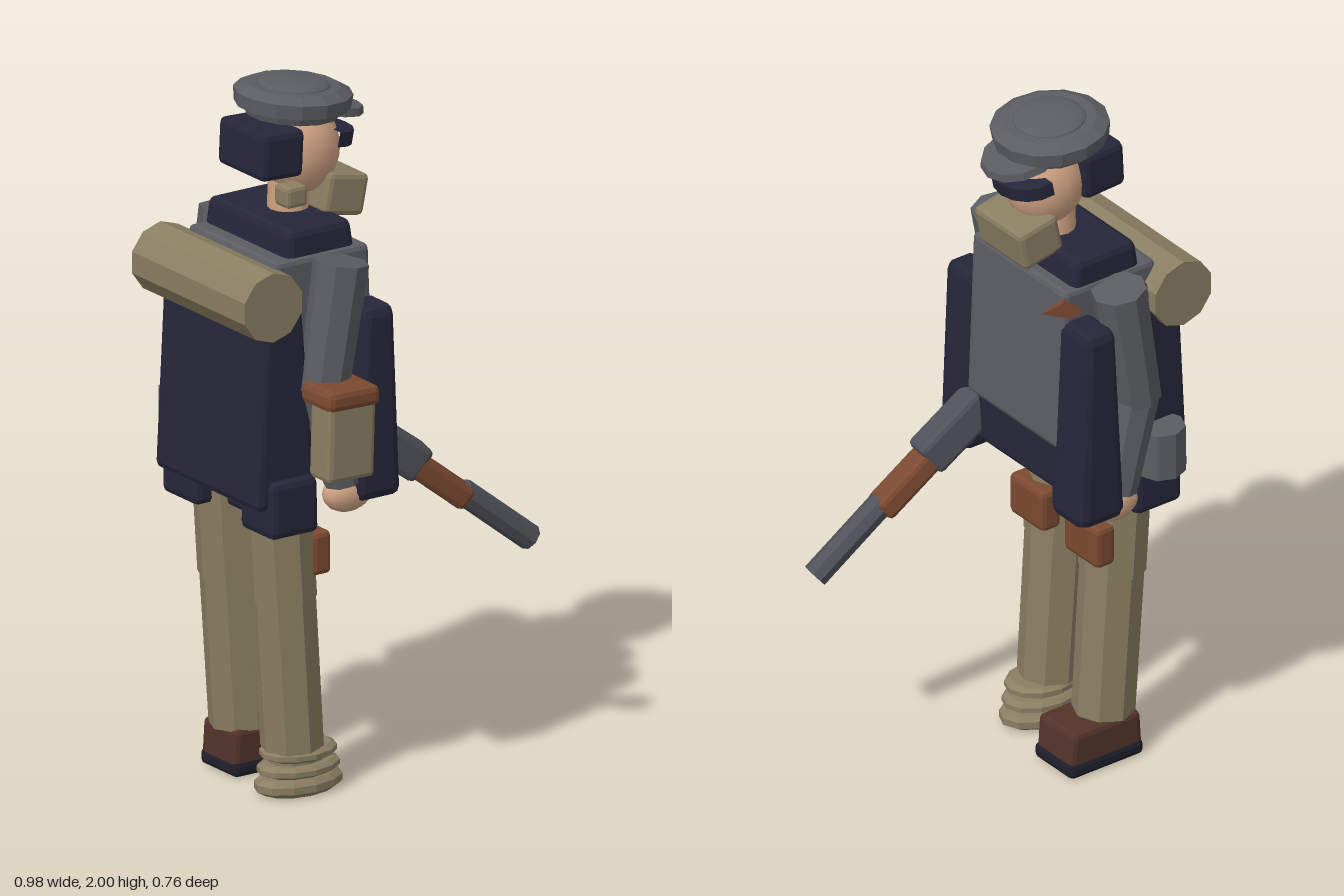
import * as THREE from 'three';
import { RoundedBoxGeometry } from 'three/addons/geometries/RoundedBoxGeometry.js';

const mat = (name, color) => new THREE.MeshStandardMaterial({ name, color });

export function createModel() {
  const model = new THREE.Group();
  model.name = 'soldier';

  const grey = mat('cloth grey', 0x5b5d63);
  const navy = mat('dark navy', 0x25273a);
  const tan = mat('canvas tan', 0x8a7e62);
  const brown = mat('leather brown', 0x7c4a31);
  const skin = mat('skin', 0xcfa282);
  const boot = mat('boot brown', 0x53332b);
  const steel = mat('gun steel', 0x50525a);
  const black = mat('sole black', 0x1f202b);

  // Faceted copy of a geometry
  const facet = (g) => {
    const f = g.index ? g.toNonIndexed() : g;
    f.computeVertexNormals();
    return f;
  };
  const add = (name, geo, material, x = 0, y = 0, z = 0, rz = 0) => {
    const m = new THREE.Mesh(geo, material);
    m.name = name;
    m.position.set(x, y, z);
    m.rotation.z = rz;
    model.add(m);
    return m;
  };

  // Bevelled block from ranges; its top may be scaled and shifted along x
  const block = (name, material, [x0, x1], [y0, y1], [z0, z1], bevel = 0.015, o = {}) => {
    const { top = 1, topZ = 1, shift = 0, rz = 0 } = o;
    const h = y1 - y0;
    const g = new RoundedBoxGeometry(x1 - x0, h, z1 - z0, 1, bevel);
    const p = g.attributes.position;
    for (let i = 0; i < p.count; i++) {
      const t = p.getY(i) / h + 0.5;
      p.setX(i, p.getX(i) * (1 + (top - 1) * t) + shift * t);
      p.setZ(i, p.getZ(i) * (1 + (topZ - 1) * t));
    }
    return add(name, facet(g), material, (x0 + x1) / 2, (y0 + y1) / 2, (z0 + z1) / 2, rz);
  };

  // Straight part between two points
  const UP = new THREE.Vector3(0, 1, 0);
  const between = (name, material, a, b, makeGeo) => {
    const A = new THREE.Vector3(...a), B = new THREE.Vector3(...b);
    const d = B.clone().sub(A);
    const mid = A.clone().add(B).multiplyScalar(0.5);
    const m = add(name, facet(makeGeo(d.length())), material, mid.x, mid.y, mid.z);
    m.quaternion.setFromUnitVectors(UP, d.normalize());
    return m;
  };
  const rod = (name, material, a, b, rA, rB = rA, sides = 8) =>
    between(name, material, a, b, (l) => new THREE.CylinderGeometry(rB, rA, l, sides));

  const midZ = -0.04;

  // Legs with thigh pouches
  for (const [side, z] of [['left', 0.085], ['right', -0.16]]) {
    rod(side + 'Thigh', tan, [-0.265, 0.57, z], [-0.29, 0.96, z], 0.094, 0.094);
    rod(side + 'Shin', tan, [-0.235, 0.13, z], [-0.265, 0.59, z], 0.088, 0.09);
    block(side + 'ThighPouch', brown, [-0.22, -0.155], [0.63, 0.755], [z - 0.077, z + 0.077], 0.015);
  }

  // Left foot: stacked wrapped pads
  const footCore = add('leftFootCore', facet(new THREE.CylinderGeometry(0.06, 0.06, 0.12, 10)), tan, -0.22, 0.07, 0.085);
  footCore.scale.x = 1.4;
  [[0.025, 0.135, 0.05], [0.07, 0.125, 0.035], [0.115, 0.115, 0.035]].forEach(([y, rx, h], i) => {
    const profile = [[0, -h / 2], [0.8, -h / 2], [1, -h / 5], [1, h / 5], [0.85, h / 2], [0, h / 2]]
      .map(([r, v]) => new THREE.Vector2(r, v));
    const pad = add('leftFootPad' + (i + 1), facet(new THREE.LatheGeometry(profile, 12)), tan, -0.215, y, 0.085);
    pad.scale.set(rx, 1, 0.087);
  });

  // Right boot
  block('rightSole', black, [-0.31, -0.06], [0, 0.045], [-0.247, -0.075], 0.014);
  block('rightBoot', boot, [-0.31, -0.065], [0.025, 0.135], [-0.242, -0.08], 0.015, { top: 0.94 });

  // Torso, vest and coat
  block('pelvis', navy, [-0.33, -0.2], [0.79, 0.97], [-0.2, 0.12]);
  block('lowerTorso', navy, [-0.34, -0.02], [0.93, 1.12], [-0.25, 0.17]);
  block('vest', grey, [-0.36, -0.015], [1.065, 1.56], [-0.252, 0.168], 0.015, { top: 0.9, shift: -0.003 });
  block('coatBack', navy, [-0.44, -0.24], [0.87, 1.5], [-0.28, 0.215], 0.02, { top: 0.55, shift: -0.01 });
  block('collar', navy, [-0.3, -0.07], [1.54, 1.635], [-0.245, 0.155], 0.02, { top: 0.9, topZ: 0.97 });
  block('leftCoatFlap', navy, [-0.165, -0.005], [0.86, 1.42], [0.165, 0.287], 0.03, { top: 0.6, shift: 0.005 });
  block('rightCoatFlap', navy, [-0.165, -0.005], [0.86, 1.47], [-0.363, -0.21], 0.03, { top: 0.6, shift: 0.005 });
  rod('shoulderSpike', brown, [-0.055, 1.52, -0.255], [-0.02, 1.465, -0.17], 0.04, 0.001, 5);

  // Arms and hands
  for (const [side, z] of [['left', 0.232], ['right', -0.308]]) {
    rod(side + 'UpperArm', grey, [-0.235, 1.19, z], [-0.175, 1.555, z], 0.07, 0.078);
    rod(side + 'Forearm', grey, [-0.17, 0.92, z], [-0.235, 1.22, z], 0.055, 0.068);
    const hand = add(side + 'Hand', new THREE.SphereGeometry(0.06, 12, 8), skin, -0.155, 0.885, z);
    hand.scale.set(1.3, 0.9, 0.8);
  }

  // Belt gear
  block('leftHipPouch', navy, [-0.41, -0.25], [0.79, 0.955], [0.08, 0.24], 0.02, { top: 0.95 });
  block('rightHipPouch', navy, [-0.41, -0.25], [0.79, 0.955], [-0.29, -0.12], 0.02, { top: 0.95 });
  rod('canteen', grey, [-0.32, 0.93, -0.305], [-0.32, 1.07, -0.305], 0.07, 0.07);
  block('satchel', tan, [-0.31, -0.155], [0.97, 1.2], [0.27, 0.37], 0.015, { rz: -0.03 });
  block('satchelFlap', brown, [-0.315, -0.14], [1.175, 1.235], [0.23, 0.377], 0.018, { top: 0.95, rz: -0.03 });

  // Bedroll
  rod('bedroll', tan, [-0.395, 1.46, -0.31], [-0.395, 1.46, 0.223], 0.1, 0.1, 10);

  // Rifle
  const bar = (h, w, r) => (l) => new RoundedBoxGeometry(h, l, w, 1, r);
  between('rifleReceiver', steel, [-0.06, 1.035, 0.15], [0.125, 0.895, 0.172], bar(0.105, 0.09, 0.015));
  between('rifleHandguard', brown, [0.09, 0.915, 0.168], [0.265, 0.775, 0.192], bar(0.068, 0.085, 0.015));
  rod('rifleBarrel', steel, [0.255, 0.795, 0.191], [0.466, 0.625, 0.217], 0.037, 0.037, 8);

  // Head
  add('neck', new THREE.CylinderGeometry(0.055, 0.06, 0.14, 12), skin, -0.16, 1.66, midZ);
  const head = add('head', new THREE.SphereGeometry(0.115, 20, 14), skin, -0.125, 1.8, midZ);
  head.scale.set(1, 1.15, 0.95);
  block('hair', navy, [-0.32, -0.18], [1.755, 1.892], [-0.15, 0.07], 0.018, { rz: -0.05 });
  block('scarf', tan, [-0.105, 0.03], [1.61, 1.73], [-0.145, 0.067], 0.015, { rz: -0.2 });
  block('scarfKnot', tan, [-0.28, -0.21], [1.69, 1.752], [0.06, 0.127], 0.012);
  const visor = add('eyeVisor', facet(new THREE.CylinderGeometry(1, 1, 0.042, 8, 1, false, 0, Math.PI)),
    navy, -0.07, 1.837, midZ, -0.2);
  visor.scale.set(0.1, 1, 0.113);

  // Cap
  const cap = new THREE.Group();
  cap.name = 'cap';
  cap.position.set(-0.145, 1.94, midZ);
  cap.rotation.z = -0.08;
  const crown = [[0, -0.04], [0.13, -0.04], [0.138, -0.02], [0.16, -0.015], [0.165, 0.025], [0.13, 0.043], [0, 0.043]]
    .map(([r, y]) => new THREE.Vector2(r, y));
  const crownMesh = add('capCrown', facet(new THREE.LatheGeometry(crown, 14)), grey);
  const dome = add('capDome', new THREE.SphereGeometry(0.102, 20, 6, 0, Math.PI * 2, 0, Math.PI / 2), grey, 0, 0.042, 0);
  dome.scale.y = 0.18;
  const brim = add('capBrim', facet(new THREE.CylinderGeometry(0.1, 0.105, 0.022, 12)), grey, 0.105, -0.026, 0, -0.14);
  brim.scale.x = 1.12;
  cap.add(crownMesh, dome, brim);
  model.add(cap);

  return model;
}
